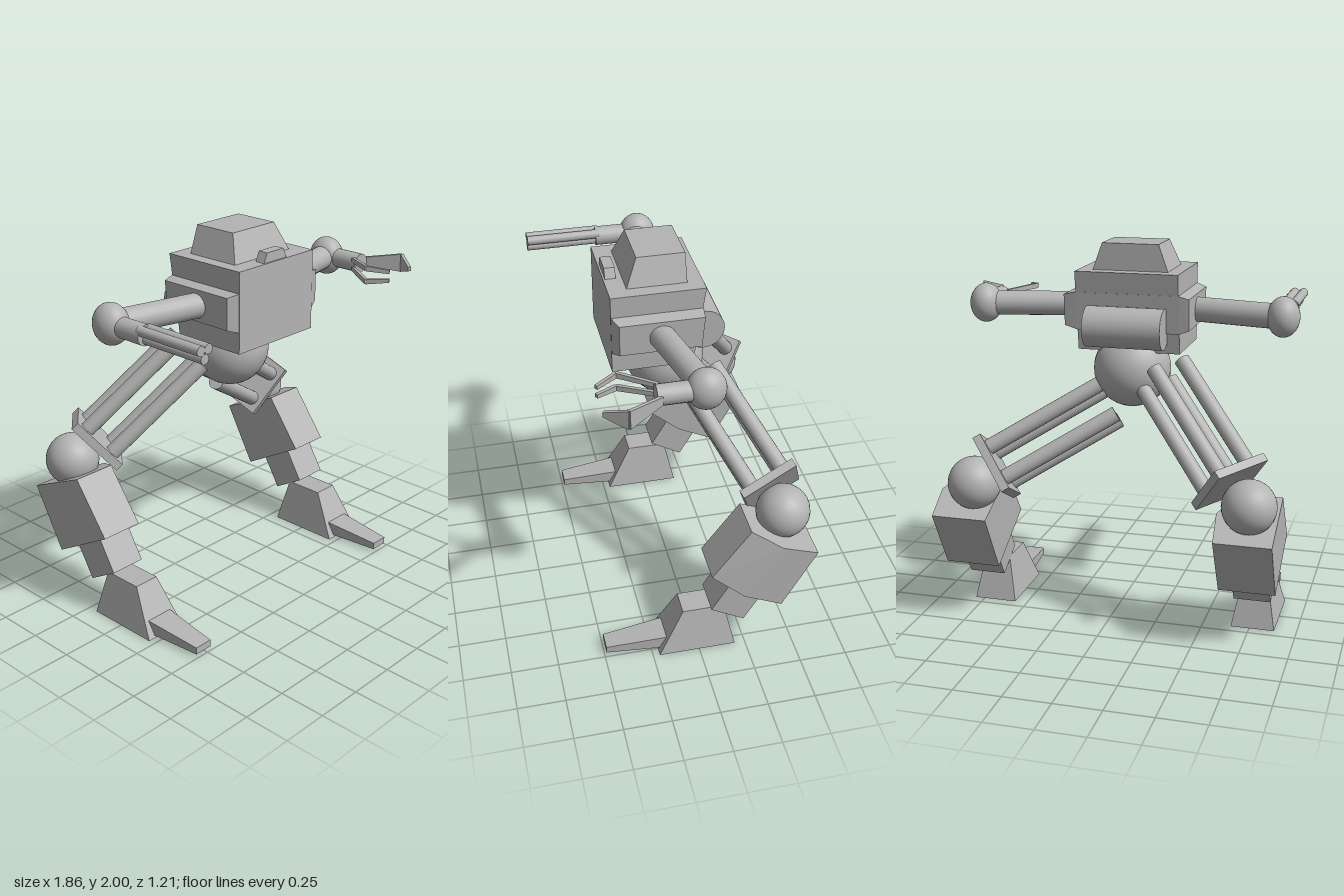
import * as THREE from 'three';
import { ConvexGeometry } from 'three/addons/geometries/ConvexGeometry.js';

const V = (x, y, z) => new THREE.Vector3(x, y, z);

export function createModel() {
  const root = new THREE.Group();
  const grey = new THREE.MeshStandardMaterial({ color: 0xb4b4b4 });
  grey.name = 'plain grey';

  const add = (name, geometry, parent = root) => {
    const mesh = new THREE.Mesh(geometry, grey);
    mesh.name = name;
    parent.add(mesh);
    return mesh;
  };
  // Flat-sided solid around a few corner points
  const hull = (name, points, parent) => add(name, new ConvexGeometry(points), parent);
  // Side profile of [y, z] pairs extruded between two x positions
  const slab = (name, x0, x1, profile, parent) =>
    hull(name, profile.flatMap(([y, z]) => [V(x0, y, z), V(x1, y, z)]), parent);
  // Corners of a rectangle [x0, x1, z0, z1] at height y
  const rect = (y, [x0, x1, z0, z1]) => [V(x0, y, z0), V(x1, y, z0), V(x0, y, z1), V(x1, y, z1)];
  const ball = (name, c, rx, ry = rx, rz = rx, parent = root) => {
    const mesh = add(name, new THREE.SphereGeometry(1, 32, 20), parent);
    mesh.scale.set(rx, ry, rz);
    mesh.position.copy(c);
  };
  const rod = (name, a, b, r, parent) => {
    const mesh = add(name, new THREE.CylinderGeometry(r, r, a.distanceTo(b), 20), parent);
    mesh.position.copy(a).lerp(b, 0.5);
    mesh.quaternion.setFromUnitVectors(V(0, 1, 0), b.clone().sub(a).normalize());
  };

  // Torso, with a sloping back and bevelled side pods
  slab('torso', -0.33, 0.215, [[1.86, 0.325], [1.86, -0.155], [1.44, -0.09], [1.44, 0.325]]);
  hull('sidePods', [
    ...rect(1.75, [-0.33, 0.215, -0.14, 0.324]), ...rect(1.55, [-0.33, 0.215, -0.12, 0.324]),
    ...rect(1.735, [-0.385, 0.28, -0.135, 0.295]), ...rect(1.57, [-0.385, 0.28, -0.12, 0.295]),
  ]);
  hull('head', [...rect(1.86, [-0.26, 0.14, -0.075, 0.23]), ...rect(2, [-0.21, 0.09, -0.075, 0.17])]);
  hull('frontSight', [...rect(1.855, [-0.145, 0.025, 0.26, 0.315]), ...rect(1.91, [-0.12, 0, 0.26, 0.315])]);
  rod('backTank', V(-0.265, 1.58, -0.165), V(0.145, 1.58, -0.165), 0.107);
  ball('pelvis', V(-0.055, 1.335, 0), 0.205);

  // Arms: upper arm, elbow and forearm on each side
  for (const [side, shoulderX, elbowX] of [['right', -0.34, -0.85], ['left', 0.23, 0.755]]) {
    const arm = new THREE.Group();
    arm.name = side + 'Arm';
    root.add(arm);
    rod('upperArm', V(shoulderX, 1.65, 0.09), V(elbowX, 1.65, -0.02), 0.065, arm);
    ball('elbow', V(elbowX, 1.65, -0.02), 0.085, 0.105, 0.097, arm);
    rod('forearm', V(elbowX + 0.003, 1.65, 0), V(elbowX + 0.003, 1.65, 0.22), 0.052, arm);
  }

  // Three-barrelled gun on the right forearm
  for (const [x, y] of [[-0.87, 1.674], [-0.822, 1.674], [-0.846, 1.63]])
    rod('gunBarrel', V(x, y, 0.2), V(x, y, 0.6), 0.025);

  // Claw on the left forearm; each finger is two bent plates
  // stations: [x, z, y centre, half height]
  const finger = (name, stations) => {
    for (let i = 0; i < 2; i++) {
      const [a, b] = [stations[i], stations[i + 1]];
      const d = V(b[0] - a[0], 0, b[1] - a[1]).normalize();
      const n = V(-d.z, 0, d.x).multiplyScalar(0.009);
      const points = [];
      for (const [x, z, y, h] of [a, b]) for (const s of [-1, 1]) for (const t of [-1, 1])
        points.push(V(x + s * n.x, y + t * h, z + s * n.z));
      hull(name, points);
    }
  };
  for (const s of [-1, 1])
    finger('clawFinger', [
      [0.715, 0.2, 1.65 + s * 0.024, 0.012], [0.605, 0.375, 1.65 + s * 0.036, 0.014],
      [0.67, 0.48, 1.65 + s * 0.024, 0.01]]);
  finger('clawThumb', [[0.805, 0.2, 1.65, 0.022], [0.92, 0.375, 1.65, 0.05], [0.85, 0.48, 1.65, 0.012]]);

  // Thighs: four rods running from the pelvis into a square plate
  // plate: centre, edge direction, second edge direction
  const thigh = (name, centre, u, v, length) => {
    const group = new THREE.Group();
    group.name = name;
    root.add(group);
    u.normalize();
    const n = u.clone().cross(v).normalize();
    v = n.clone().cross(u);
    const plate = add('kneePlate', new THREE.BoxGeometry(0.31, 0.32, 0.045), group);
    plate.quaternion.setFromRotationMatrix(new THREE.Matrix4().makeBasis(u, v, n));
    plate.position.copy(centre);
    for (const s of [-1, 1]) for (const t of [-1, 1]) {
      const end = centre.clone().addScaledVector(u, s * 0.09).addScaledVector(v, t * 0.09);
      rod('thighRod', end.clone().addScaledVector(n, -length), end, 0.041, group);
    }
  };
  thigh('leftThigh', V(0.565, 0.86, -0.42), V(0.04, -0.13, 0.28), V(-0.2, -0.25, -0.12), 0.68);
  thigh('rightThigh', V(-0.66, 0.875, -0.39), V(0.2, -0.04, -0.235), V(0.14, -0.23, 0.175), 0.68);

  // Lower legs: the same shape on both sides, bulging towards +x
  for (const [side, kneeX, shinX, ankleX, footX] of [
    ['right', -0.775, -0.915, -0.768, -0.767], ['left', 0.677, 0.57, 0.71, 0.685]]) {
    const leg = new THREE.Group();
    leg.name = side + 'LowerLeg';
    root.add(leg);
    ball('knee', V(kneeX, 0.775, -0.46), 0.14, 0.14, 0.14, leg);

    // Shin section: [x offset, fraction from front to back]
    const section = [[0, 0], [0.232, 0], [0.315, 0.43], [0.295, 1], [0, 1]];
    const ring = (yF, zF, yB, zB) => section.map(([x, t]) =>
      V(shinX + x, yF + (yB - yF) * t, zF + (zB - zF) * t));
    hull('shin', [...ring(0.77, -0.26, 0.62, -0.6), ...ring(0.5, -0.06, 0.3, -0.42)], leg);

    slab('ankle', ankleX - 0.098, ankleX + 0.098,
      [[0.48, -0.18], [0.38, -0.355], [0.18, -0.235], [0.28, -0.06]], leg);
    hull('foot', [...rect(0, [footX - 0.116, footX + 0.116, -0.195, 0.215]),
      ...rect(0.245, [footX - 0.07, footX + 0.07, -0.14, 0.08])], leg);
    hull('toe', [
      ...[-1, 1].flatMap((s) => [V(footX + s * 0.076, 0.01, 0.16), V(footX + s * 0.076, 0.083, 0.16),
        V(footX + s * 0.05, 0.015, 0.49), V(footX + s * 0.05, 0.053, 0.49)]),
    ], leg);
  }
  return root;
}
